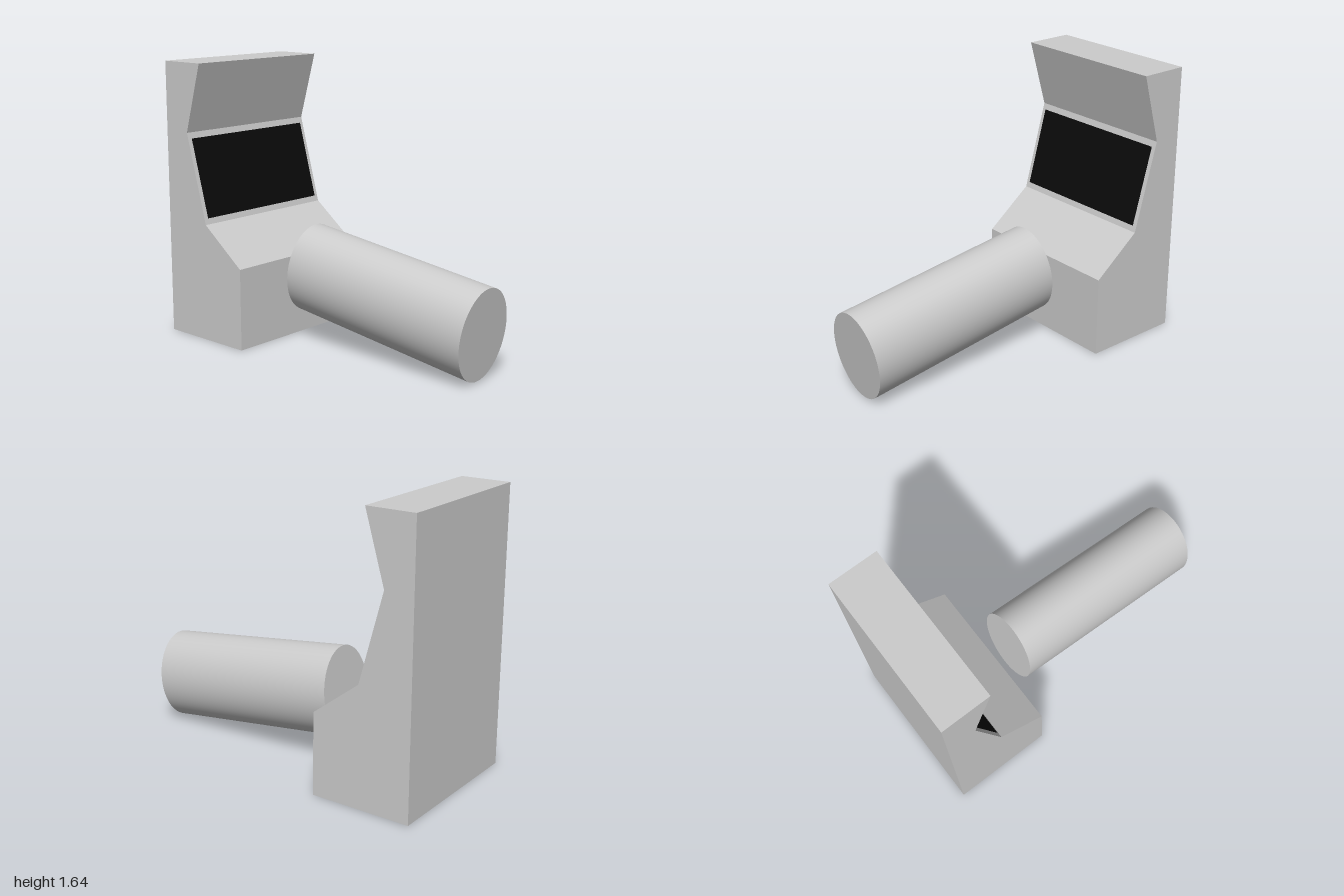
import * as THREE from 'three';

const grey = new THREE.MeshStandardMaterial({ color: 0xcccccc });
const black = new THREE.MeshStandardMaterial({ color: 0x0a0a0a });

export function createModel() {
  const model = new THREE.Group();
  const add = (name, geometry, material) => {
    const mesh = new THREE.Mesh(geometry, material);
    mesh.name = name;
    model.add(mesh);
    return mesh;
  };

  // Cabinet: side profile extruded across its width
  const depth = 0.96;
  const low = new THREE.Vector2(-0.68, 0.705); // lower edge of the screen panel
  const high = new THREE.Vector2(-0.825, 1.235); // upper edge of the screen panel
  const profile = new THREE.Shape([
    new THREE.Vector2(-1, 0),
    new THREE.Vector2(-0.395, 0),
    new THREE.Vector2(-0.395, 0.485),
    low,
    high,
    new THREE.Vector2(-0.705, 1.645),
    new THREE.Vector2(-1, 1.645),
  ]);
  const cabinet = new THREE.ExtrudeGeometry(profile, { depth, bevelEnabled: false });
  cabinet.translate(0, 0, -depth / 2);
  add('cabinet', cabinet, grey);

  // Screen: dark panel lying just proud of the leaning face
  const tilt = Math.atan2(low.x - high.x, high.y - low.y);
  const screenGeometry = new THREE.PlaneGeometry(0.91, 0.46 / Math.cos(tilt));
  screenGeometry.rotateY(Math.PI / 2).rotateZ(tilt);
  const screen = add('screen', screenGeometry, black);
  const middle = low.clone().add(high).multiplyScalar(0.5);
  screen.position.set(middle.x + 0.003, middle.y, 0);

  // Sloping drum: cylinder with an oval section, taller than wide
  const start = new THREE.Vector2(-0.278, 0.43);
  const end = new THREE.Vector2(0.965, 0.273);
  const axis = end.clone().sub(start);
  const drumGeometry = new THREE.CylinderGeometry(0.268, 0.268, axis.length(), 64);
  drumGeometry.rotateZ(-Math.PI / 2).scale(1, 1, 0.213 / 0.268);
  const drum = add('drum', drumGeometry, grey);
  drum.rotation.z = Math.atan2(axis.y, axis.x);
  drum.position.set((start.x + end.x) / 2, (start.y + end.y) / 2, 0);

  return model;
}
